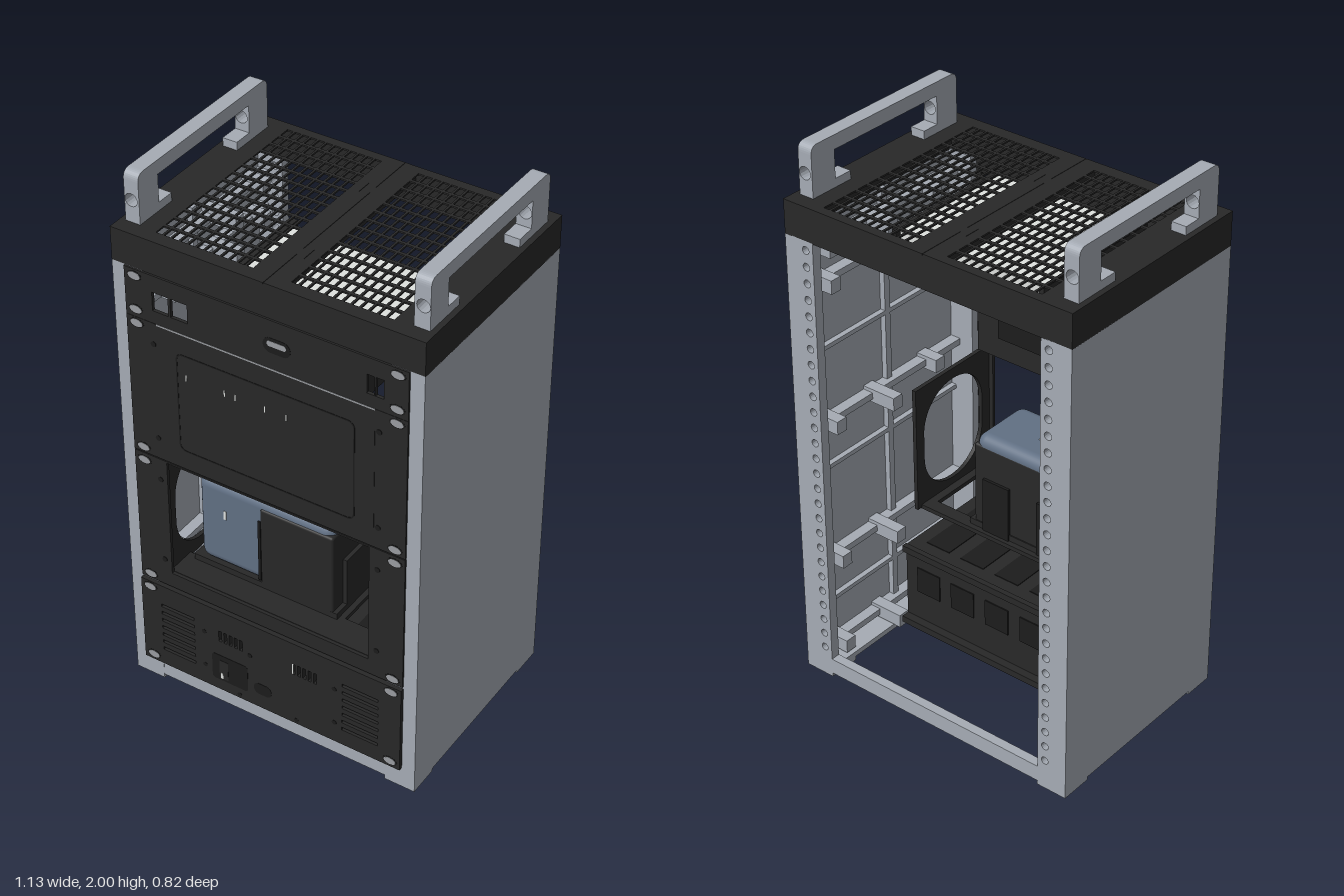
import * as THREE from 'three';
import { RoundedBoxGeometry } from 'three/addons/geometries/RoundedBoxGeometry.js';

const mat = (name, color) => Object.assign(new THREE.MeshStandardMaterial({ color }), { name });
const grey = mat('frame grey', 0xa6acb5);
const dark = mat('charcoal', 0x282828);
const black = mat('near black', 0x1c1c1c);
const blue = mat('slate blue', 0x617084);
const light = mat('light grey', 0xdfe2df);
const steel = mat('screw steel', 0x9a9da1);

export function createModel() {
  const root = new THREE.Group();
  const group = (name) => { const g = new THREE.Group(); g.name = name; root.add(g); return g; };
  const add = (parent, name, m, geo) => {
    const mesh = new THREE.Mesh(geo, m);
    mesh.name = name;
    parent.add(mesh);
    return mesh;
  };
  const box = (p, name, m, x0, x1, y0, y1, z0, z1) => add(p, name, m,
    new THREE.BoxGeometry(x1 - x0, y1 - y0, z1 - z0).translate((x0 + x1) / 2, (y0 + y1) / 2, (z0 + z1) / 2));
  const rounded = (p, name, m, x0, x1, y0, y1, z0, z1, r) => add(p, name, m,
    new RoundedBoxGeometry(x1 - x0, y1 - y0, z1 - z0, 4, r).translate((x0 + x1) / 2, (y0 + y1) / 2, (z0 + z1) / 2));
  const pts = (list) => list.map(([x, y]) => new THREE.Vector2(x, y));
  const poly = (list) => new THREE.Shape(pts(list));
  const corners = (x0, x1, y0, y1) => [[x0, y0], [x1, y0], [x1, y1], [x0, y1]];
  const rectHole = (s, x0, x1, y0, y1) => s.holes.push(new THREE.Path(pts(corners(x0, x1, y0, y1))));
  const ovalHole = (s, x, y, rx, ry) =>
    s.holes.push(new THREE.Path().absellipse(x, y, rx, ry, 0, Math.PI * 2, true));
  const roundRect = (C, x0, x1, y0, y1, r) => {
    const s = new C();
    s.absarc(x1 - r, y1 - r, r, 0, Math.PI / 2);
    s.absarc(x0 + r, y1 - r, r, Math.PI / 2, Math.PI);
    s.absarc(x0 + r, y0 + r, r, Math.PI, Math.PI * 1.5);
    s.absarc(x1 - r, y0 + r, r, Math.PI * 1.5, Math.PI * 2);
    s.closePath();
    return s;
  };
  const extrude = (s, depth) => new THREE.ExtrudeGeometry(s, { depth, bevelEnabled: false, curveSegments: 8 });
  const plate = (p, name, m, s, z0, z1) => add(p, name, m, extrude(s, z1 - z0).translate(0, 0, z0));
  // Side profile drawn as (-z, y), extruded along x
  const sidePlate = (p, name, m, s, x0, x1) =>
    add(p, name, m, extrude(s, x1 - x0).rotateY(Math.PI / 2).translate(x0, 0, 0));
  const span = (s, a, b) => (s > 0 ? [a, b] : [-b, -a]);

  // Case: side walls, drilled rear posts, plain front posts, inner ribs and feet
  const U = 0.179;
  const frame = group('frame');
  for (const s of [-1, 1]) {
    box(frame, 'sideWall', grey, ...span(s, 0.545, 0.565), 0.012, 1.7, -0.41, 0.395);
    const post = poly(corners(...span(s, 0.45, 0.565), 0.012, 1.7));
    for (let i = 0; i < 27; i++) ovalHole(post, s * 0.48, 0.115 + i * U / 3, 0.014, 0.014);
    plate(frame, 'rearPost', grey, post, -0.41, -0.375);
    box(frame, 'frontPost', grey, ...span(s, 0.45, 0.565), 0.012, 1.7, 0.36, 0.395);
    for (const [z0, z1] of [[-0.41, -0.29], [0.28, 0.395]])
      box(frame, 'foot', grey, ...span(s, 0.45, 0.565), 0, 0.03, z0, z1);
    for (const y of [0.07, 0.43, 0.97, 1.5, 1.63]) {
      box(frame, 'supportRail', grey, ...span(s, 0.505, 0.546), y - 0.012, y + 0.012, -0.38, 0.37);
      for (const [z, x] of [[-0.3, 0.46], [-0.075, 0.412], [0.2, 0.46]])
        box(frame, 'railBlock', grey, ...span(s, x, 0.546), y - 0.025, y + 0.025, z - 0.022, z + 0.022);
    }
    for (const y of [0.24, 0.78, 1.24])
      box(frame, 'wallRib', grey, ...span(s, 0.525, 0.546), y - 0.008, y + 0.008, -0.38, 0.37);
    box(frame, 'uprightRib', grey, ...span(s, 0.525, 0.546), 0.02, 1.7, 0, 0.025);
    box(frame, 'bottomLedge', grey, ...span(s, 0.45, 0.546), 0.015, 0.035, -0.38, 0.37);
  }
  box(frame, 'backSill', grey, -0.46, 0.46, 0.015, 0.075, -0.41, -0.375);
  box(frame, 'middleSill', grey, -0.46, 0.46, 0.015, 0.06, 0.03, 0.06);
  box(frame, 'frontSill', grey, -0.46, 0.46, 0.015, 0.1, 0.32, 0.394);

  // Lid: two interlocking thin grille halves on a hollow skirt
  const lid = group('lid');
  const seam = [[0, -0.395], [0, -0.212], [0.032, -0.225], [0.032, -0.165], [0, -0.178],
    [0, 0.198], [-0.032, 0.185], [-0.032, 0.245], [0, 0.232], [0, 0.41]];
  for (const s of [-1, 1]) {
    const half = poly([...seam.map(([x, y]) => [x + s * 0.0008, y]), [s * 0.565, 0.41], [s * 0.565, -0.395]]);
    for (let i = 0; i < 12; i++) for (let j = 0; j < 14; j++) {
      const x = s * (0.08 + i * 0.0305), y = 0.355 - j * 0.0523;
      rectHole(half, x - 0.0115, x + 0.0115, y - 0.0205, y + 0.0205);
    }
    add(lid, 'grilleHalf', dark, extrude(half, 0.006).rotateX(-Math.PI / 2).translate(0, 1.814, 0));
    box(lid, 'skirtSide', dark, ...span(s, 0.54, 0.565), 1.698, 1.815, -0.41, 0.395);
    box(lid, 'lidRib', dark, ...span(s, 0.035, 0.055), 1.785, 1.815, -0.39, 0.375);
  }
  box(lid, 'skirtBack', dark, -0.55, 0.55, 1.698, 1.815, -0.41, -0.385);
  box(lid, 'skirtFront', dark, -0.55, 0.55, 1.698, 1.815, 0.37, 0.395);

  // Carry handles with drilled legs
  const handles = group('handles');
  for (const s of [-1, 1]) {
    const [x0, x1] = span(s, 0.49, 0.545);
    const bar = new THREE.Shape();
    bar.moveTo(-0.34, 1.93);
    bar.lineTo(-0.24, 1.93); bar.lineTo(-0.24, 1.95); bar.lineTo(0.25, 1.95); bar.lineTo(0.25, 1.93);
    bar.lineTo(0.355, 1.93); bar.lineTo(0.355, 1.97);
    bar.quadraticCurveTo(0.355, 2, 0.325, 2);
    bar.lineTo(-0.31, 2);
    bar.quadraticCurveTo(-0.34, 2, -0.34, 1.97);
    sidePlate(handles, 'handleGrip', grey, bar, x0, x1);
    for (const [z0, z1, l0, l1] of [[0.24, 0.34, 0.175, 0.24], [-0.355, -0.25, -0.25, -0.18]]) {
      const leg = poly(corners(x0, x1, 1.82, 1.93));
      ovalHole(leg, s * 0.52, 1.9, 0.023, 0.023);
      plate(handles, 'handleLeg', grey, leg, z0, z1);
      box(handles, 'handleLip', grey, x0, x1, 1.82, 1.85, l0, l1);
    }
  }

  // Rack screws in oval slots
  const screws = group('screws');
  for (const s of [-1, 1]) for (const y of [1.675, 1.55, 1.498, 1.01, 0.957, 0.47, 0.418, 0.11]) {
    const z = y < 0.43 ? 0.41 : 0.402;
    const oval = (rx, ry) => new THREE.Shape().absellipse(s * 0.477, y, rx, ry, 0, Math.PI * 2);
    plate(screws, 'slotRim', black, oval(0.028, 0.018), z - 0.002, z + 0.0005);
    plate(screws, 'screwHead', steel, oval(0.023, 0.014), z - 0.002, z + 0.0015);
  }

  // Top unit: port panel with a pale switch in a tray
  const ports = group('portUnit');
  const portPanel = poly(corners(-0.515, 0.515, 1.521, 1.699));
  for (const [a, b] of [[-0.412, -0.352], [-0.343, -0.28], [0.37, 0.397], [0.401, 0.43]])
    rectHole(portPanel, a, b, 1.568, 1.637);
  plate(ports, 'portPanel', dark, portPanel, 0.39, 0.402);
  plate(ports, 'buttonRim', black, roundRect(THREE.Shape, 0, 0.1, 1.58, 1.635, 0.027), 0.401, 0.403);
  plate(ports, 'button', steel, roundRect(THREE.Shape, 0.015, 0.085, 1.604, 1.624, 0.009), 0.402, 0.404);
  box(ports, 'switchTray', dark, -0.245, 0.355, 1.535, 1.55, -0.135, 0.39);
  box(ports, 'switchBody', light, -0.23, 0.34, 1.55, 1.66, -0.122, 0.37);
  box(ports, 'trayBack', dark, -0.245, 0.355, 1.535, 1.56, -0.14, -0.122);
  for (const [a, b] of [[-0.25, -0.232], [0.342, 0.36]]) box(ports, 'traySide', dark, a, b, 1.535, 1.67, -0.14, 0.39);

  // Display unit
  const display = group('displayUnit');
  box(display, 'displayPanel', dark, -0.515, 0.515, 0.988, 1.52, 0.39, 0.402);
  box(display, 'displayBezel', dark, -0.4, 0.4, 0.992, 1.515, 0.33, 0.403);
  box(display, 'bezelEdge', steel, -0.4, 0.4, 1.515, 1.521, 0.395, 0.403);
  const rim = roundRect(THREE.Shape, -0.33, 0.33, 1.06, 1.442, 0.025);
  rim.holes.push(roundRect(THREE.Path, -0.325, 0.325, 1.065, 1.437, 0.022));
  plate(display, 'screenOutline', black, rim, 0.402, 0.404);
  for (const x of [-0.295, -0.15, -0.11, 0, 0.08])
    box(display, 'screenMark', light, x, x + 0.004, 1.345, 1.368, 0.402, 0.404);
  for (const s of [-1, 1]) for (const y of [1.07, 1.44, 0.9, 0.56])
    plate(display, 'boltHead', black, new THREE.Shape().absarc(s * 0.415, y, 0.01, 0, Math.PI * 2), 0.401, 0.404);
  box(display, 'rearCover', black, -0.3, 0.3, 1.08, 1.42, 0.315, 0.33);

  // Open shelf unit with vented cheeks
  const shelf = group('shelfUnit');
  const shelfFace = poly(corners(-0.515, 0.515, 0.45, 0.984));
  rectHole(shelfFace, -0.388, 0.384, 0.51, 0.978);
  plate(shelf, 'shelfFace', dark, shelfFace, 0.39, 0.402);
  for (const s of [-1, 1]) {
    const cheek = poly(corners(-0.392, 0, 0.5, 0.98));
    cheek.holes.push(roundRect(THREE.Path, -0.35, -0.04, 0.54, 0.94, 0.15));
    sidePlate(shelf, 'ventedCheek', dark, cheek, ...span(s, 0.4, 0.415));
  }
  const floor = poly(corners(-0.415, 0.415, -0.39, -0.02));
  for (const [a, b] of [[-0.4, -0.368], [-0.33, 0.17], [0.22, 0.37]]) rectHole(floor, a, b, -0.28, -0.07);
  add(shelf, 'shelfFloor', dark, extrude(floor, 0.016).rotateX(-Math.PI / 2).translate(0, 0.496, 0));

  // Desktop device in its cradle
  const device = group('device');
  rounded(device, 'deviceBody', blue, -0.35, 0.182, 0.53, 0.88, 0.045, 0.295, 0.038);
  rounded(device, 'deviceCover', dark, -0.1, 0.184, 0.525, 0.845, 0.044, 0.3, 0.01);
  box(device, 'coverEdge', black, -0.108, -0.098, 0.54, 0.79, 0.285, 0.3);
  box(device, 'frontLamp', light, -0.245, -0.235, 0.735, 0.77, 0.294, 0.297);
  box(device, 'topPlate', light, -0.07, -0.01, 0.879, 0.883, 0.15, 0.18);
  box(device, 'cradleBase', dark, -0.368, 0.2, 0.51, 0.535, 0.04, 0.3);
  for (const [a, b] of [[-0.368, -0.352], [0.185, 0.2]]) box(device, 'cradleSide', dark, a, b, 0.51, 0.72, 0.1, 0.24);
  for (const [a, b] of [[-0.33, -0.22], [-0.16, -0.09], [0.03, 0.14]])
    box(device, 'cradleBack', black, a, b, 0.51, 0.72, 0.034, 0.05);

  // Bottom unit: ventilated panel with socket and rear case
  const power = group('powerUnit');
  const powerFace = poly(corners(-0.515, 0.515, 0.085, 0.44));
  for (let i = 0; i < 7; i++) {
    const y = 0.157 + i * 0.0325;
    rectHole(powerFace, -0.435, -0.3, y - 0.006, y + 0.006);
    rectHole(powerFace, 0.29, 0.43, y - 0.006, y + 0.006);
  }
  for (const x0 of [-0.2, 0.095]) for (let i = 0; i < 5; i++)
    rectHole(powerFace, x0 + i * 0.021, x0 + i * 0.021 + 0.012, 0.305, 0.35);
  plate(power, 'powerFace', dark, powerFace, 0.39, 0.41);
  plate(power, 'socketFrame', black, roundRect(THREE.Shape, -0.23, -0.085, 0.13, 0.242, 0.012), 0.409, 0.411);
  box(power, 'rockerSwitch', dark, -0.2, -0.165, 0.14, 0.22, 0.41, 0.412);
  box(power, 'rockerMark', light, -0.195, -0.185, 0.14, 0.165, 0.411, 0.413);
  box(power, 'slotGlint', light, 0.095, 0.1, 0.305, 0.35, 0.408, 0.41);
  plate(power, 'inletPort', black, roundRect(THREE.Shape, -0.06, 0.01, 0.145, 0.192, 0.02), 0.409, 0.411);
  for (const [x, y] of [[-0.26, 0.32], [0.26, 0.32], [-0.26, 0.17], [0.26, 0.17], [-0.075, 0.3], [-0.12, 0.1], [0.11, 0.1]])
    plate(power, 'panelBolt', black, new THREE.Shape().absarc(x, y, 0.009, 0, Math.PI * 2), 0.409, 0.411);
  box(power, 'caseBody', dark, -0.28, 0.37, 0.11, 0.425, -0.1, 0.375);
  for (let i = 0; i < 4; i++) {
    box(power, 'rearPort', black, -0.23 + i * 0.15, -0.13 + i * 0.15, 0.25, 0.35, -0.104, -0.099);
    box(power, 'topVent', black, -0.23 + i * 0.15, -0.13 + i * 0.15, 0.424, 0.428, -0.05, 0.3);
  }
  box(power, 'rearLip', dark, -0.28, 0.37, 0.11, 0.135, -0.13, -0.1);
  box(power, 'rearTopLip', dark, -0.28, 0.37, 0.405, 0.43, -0.12, -0.1);
  return root;
}
